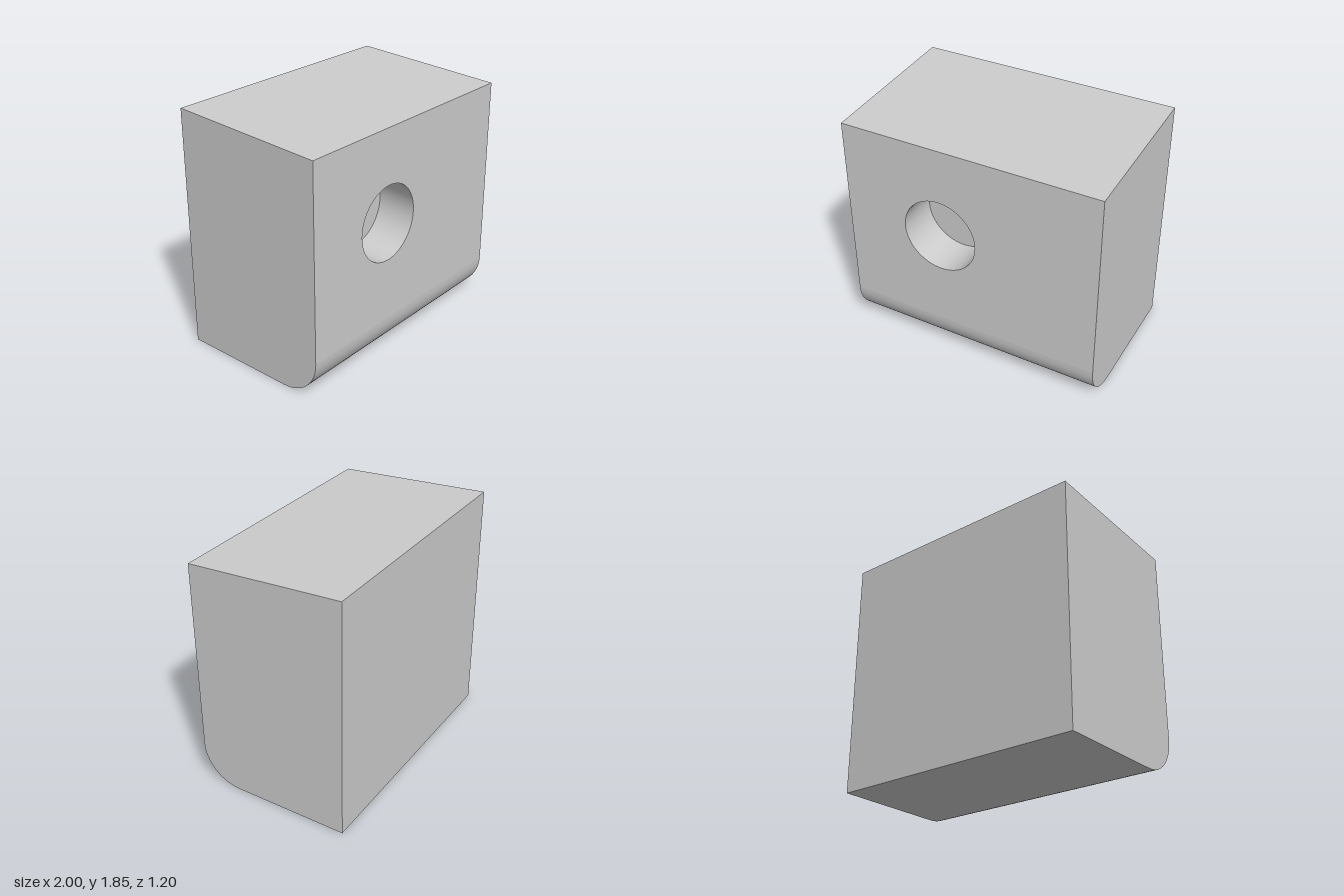
import * as THREE from 'three';
import { toCreasedNormals } from 'three/addons/utils/BufferGeometryUtils.js';

const HALF_W = 1, HALF_D = 0.6, FRONT_H = 1.78, BACK_H = 1.845, FILLET = 0.3;
const HOLE = { x: -0.23, y: 1.07, r: 0.288, depth: 0.31 };

// Side outline as [z, y]: rounded front lower edge, bottom, back, sloping top
function sideProfile() {
  const pts = [];
  const steps = 12;
  for (let i = 0; i <= steps; i++) {
    const a = (i / steps) * Math.PI / 2;
    pts.push([HALF_D - FILLET + FILLET * Math.cos(a), FILLET - FILLET * Math.sin(a)]);
  }
  pts.push([-HALF_D, 0], [-HALF_D, BACK_H], [HALF_D, FRONT_H]);
  return pts;
}

// Skin swept across the width, open where the front panel sits
function sweepAcross(profile) {
  const pos = [];
  for (let i = 0; i < profile.length - 1; i++) {
    const [z0, y0] = profile[i], [z1, y1] = profile[i + 1];
    const a = [-HALF_W, y0, z0], b = [HALF_W, y0, z0];
    const c = [HALF_W, y1, z1], d = [-HALF_W, y1, z1];
    pos.push(...a, ...d, ...c, ...a, ...c, ...b);
  }
  const geo = new THREE.BufferGeometry();
  geo.setAttribute('position', new THREE.Float32BufferAttribute(pos, 3));
  return toCreasedNormals(geo, 0.4);
}

export function createModel() {
  const model = new THREE.Group();
  const grey = new THREE.MeshStandardMaterial({ color: 0xcccccc });
  const inner = new THREE.MeshStandardMaterial({ color: 0xcccccc, side: THREE.BackSide });
  const add = (name, geo, mat = grey) => {
    const mesh = new THREE.Mesh(geo, mat);
    mesh.name = name;
    model.add(mesh);
    return mesh;
  };

  const profile = sideProfile();
  add('bodyShell', sweepAcross(profile));

  // Flat ends
  for (const side of [1, -1]) {
    const shape = new THREE.Shape(profile.map(([z, y]) => new THREE.Vector2(-side * z, y)));
    const end = new THREE.ShapeGeometry(shape).rotateY(side * Math.PI / 2);
    add(side > 0 ? 'leftEnd' : 'rightEnd', end).position.x = side * HALF_W;
  }

  // Front panel pierced by the round recess
  const panel = new THREE.Shape([
    new THREE.Vector2(-HALF_W, FILLET), new THREE.Vector2(HALF_W, FILLET),
    new THREE.Vector2(HALF_W, FRONT_H), new THREE.Vector2(-HALF_W, FRONT_H),
  ]);
  panel.holes.push(new THREE.Path().absarc(HOLE.x, HOLE.y, HOLE.r, 0, Math.PI * 2, true));
  add('frontPanel', new THREE.ShapeGeometry(panel, 32)).position.z = HALF_D;

  // Blind recess, its bore leaning very slightly up and to the left
  const lean = new THREE.Matrix4().makeShear(0, 0, 0, 0, -0.03, -0.03);
  const wall = new THREE.CylinderGeometry(HOLE.r, HOLE.r, HOLE.depth, 64, 1, true)
    .rotateX(Math.PI / 2).translate(0, 0, -HOLE.depth / 2).applyMatrix4(lean);
  const floor = new THREE.CircleGeometry(HOLE.r, 64)
    .translate(0.03 * HOLE.depth, 0.03 * HOLE.depth, -HOLE.depth);
  add('recessWall', wall, inner).position.set(HOLE.x, HOLE.y, HALF_D);
  add('recessFloor', floor).position.set(HOLE.x, HOLE.y, HALF_D);

  return model;
}
